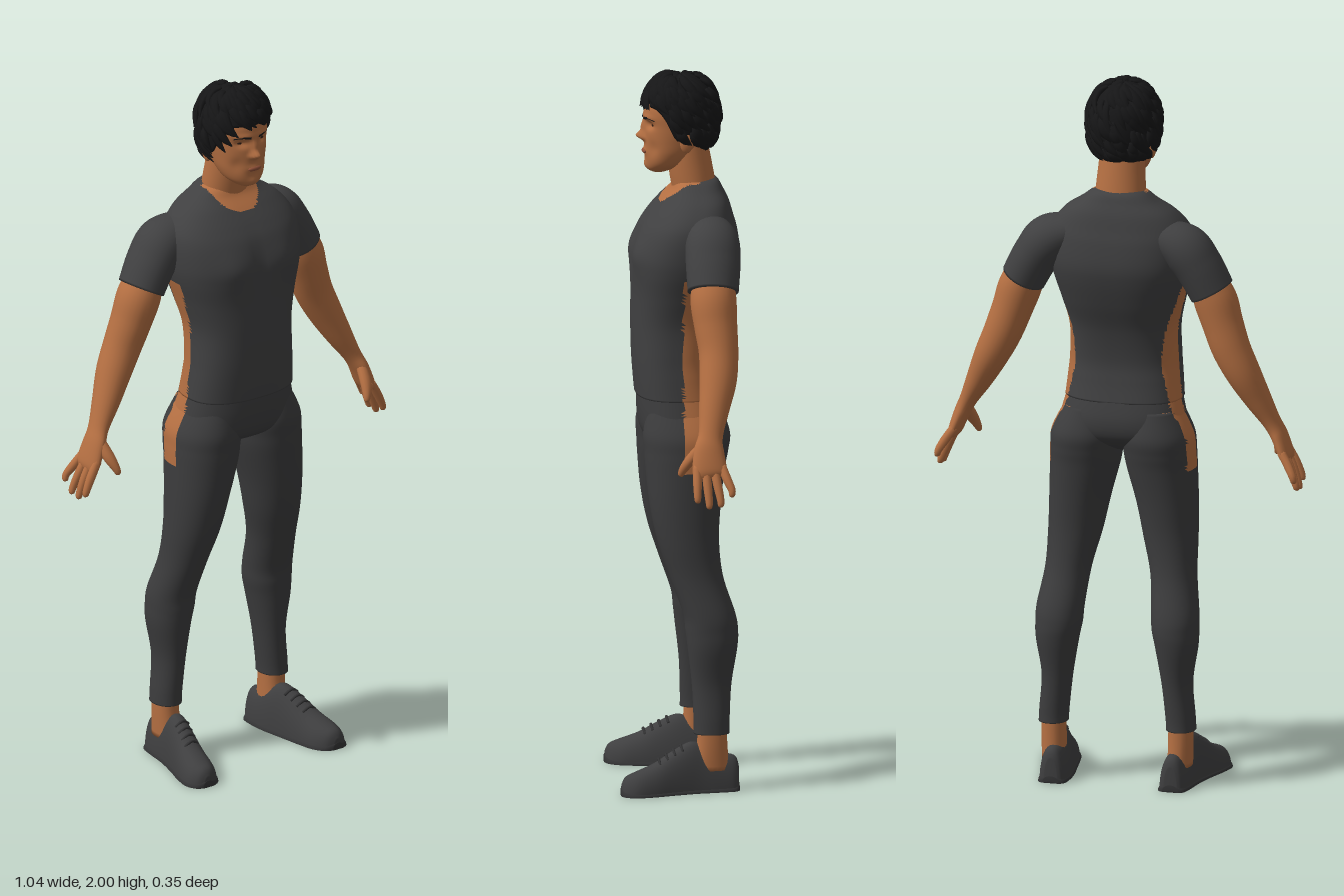
import * as THREE from 'three';
import { mergeGeometries } from 'three/addons/utils/BufferGeometryUtils.js';

const V = (x, y, z) => new THREE.Vector3(x, y, z);
const paint = (name, color) => {
  const m = new THREE.MeshStandardMaterial({ color });
  m.name = name;
  return m;
};

// Catmull-Rom through rows of numbers, resampled to n + 1 rows
function smooth(rows, n) {
  const last = rows.length - 1, out = [];
  for (let k = 0; k <= n; k++) {
    const f = (k / n) * last, i = Math.min(Math.floor(f), last - 1), t = f - i;
    const [a, b, c, d] = [i - 1, i, i + 1, i + 2].map(j => rows[Math.max(0, Math.min(last, j))]);
    out.push(b.map((p, q) => 0.5 * (2 * p + (c[q] - a[q]) * t + (2 * a[q] - 5 * p + 4 * c[q] - d[q]) * t * t
      + (3 * p - a[q] - 3 * c[q] + d[q]) * t * t * t)));
  }
  return out;
}

// Closed surface over rings of points; faces where inSecond(centre) holds use the second material
function skinOver(rings, inSecond) {
  const n = rings[0].length, pts = rings.flat(), tris = [];
  const id = (i, j) => i * n + (j % n);
  for (let i = 0; i < rings.length - 1; i++) for (let j = 0; j < n; j++) {
    tris.push([id(i, j), id(i, j + 1), id(i + 1, j + 1)], [id(i, j), id(i + 1, j + 1), id(i + 1, j)]);
  }
  for (const end of [0, rings.length - 1]) {
    const c = pts.length;
    pts.push(rings[end].reduce((s, p) => s.add(p), V(0, 0, 0)).divideScalar(n));
    for (let j = 0; j < n; j++) tris.push(end ? [id(end, j), id(end, j + 1), c] : [id(0, j + 1), id(0, j), c]);
  }
  const mid = pts.reduce((s, p) => s.add(p), V(0, 0, 0)).divideScalar(pts.length);
  const rel = pts.map(p => p.clone().sub(mid));
  let volume = 0;
  for (const [a, b, c] of tris) volume += rel[a].dot(V(0, 0, 0).crossVectors(rel[b], rel[c]));
  if (volume < 0) tris.forEach(t => t.reverse());
  const g = new THREE.BufferGeometry().setFromPoints(pts);
  if (inSecond) {
    const parts = [[], []];
    for (const t of tris) {
      const c = V(0, 0, 0).add(pts[t[0]]).add(pts[t[1]]).add(pts[t[2]]).divideScalar(3);
      parts[inSecond(c) ? 1 : 0].push(t);
    }
    g.setIndex(parts.flat(2));
    g.addGroup(0, parts[0].length * 3, 0);
    g.addGroup(parts[0].length * 3, parts[1].length * 3, 1);
  } else g.setIndex(tris.flat());
  g.computeVertexNormals();
  return g;
}

const bend = (v, e) => Math.sign(v) * Math.pow(Math.abs(v), 2 / e);

// Horizontal rings: rows of [y, centre x, half width, front z, back z]
function body(rows, { n = 40, sides = 48, e = 2.2, inSecond, shape = () => 0 } = {}) {
  return skinOver(smooth(rows, n).map(([y, cx, hw, zf, zb]) => Array.from({ length: sides }, (_, j) => {
    const a = (j / sides) * Math.PI * 2;
    const p = V(cx + hw * bend(Math.cos(a), e), y, (zf + zb) / 2 + (zf - zb) / 2 * bend(Math.sin(a), e));
    p.z += shape(p);
    return p;
  })), inSecond);
}

// Rings across a path: rows of [x, y, z, radius, radius along ref]
function limb(rows, n = 24, sides = 20, ref = V(0, 0, 1)) {
  const r = smooth(rows, n), at = i => V(...r[Math.max(0, Math.min(n, i))].slice(0, 3));
  return skinOver(r.map((row, i) => {
    const t = at(i + 1).sub(at(i - 1)).normalize();
    const u = ref.clone().cross(t).normalize(), v = t.clone().cross(u);
    return Array.from({ length: sides }, (_, j) => {
      const a = (j / sides) * Math.PI * 2;
      return at(i).addScaledVector(u, row[3] * Math.cos(a)).addScaledVector(v, row[4] * Math.sin(a));
    });
  }));
}

// Flat-bottomed shoe form: rows of [z, centre x, half width, top y]
function lastForm(rows) {
  return skinOver(smooth(rows, 36).map(([z, cx, hw, top]) => Array.from({ length: 32 }, (_, j) => {
    const a = (j / 32) * Math.PI * 2, s = Math.sin(a);
    return V(cx + hw * bend(Math.cos(a), 2.3), s > 0 ? Math.max(top, 0.004) * bend(s, 2) : 0, z);
  })));
}

const ball = (x, y, z, a, b, c) => new THREE.SphereGeometry(1, 20, 14).scale(a, b, c).translate(x, y, z);

function mirrored(g) {
  const m = g.clone().scale(-1, 1, 1), ix = m.index.array;
  for (let i = 0; i < ix.length; i += 3) [ix[i], ix[i + 1]] = [ix[i + 1], ix[i]];
  m.computeVertexNormals();
  return m;
}

export function createModel() {
  const model = new THREE.Group();
  const skin = paint('skin', 0xb46f42), shirt = paint('shirt charcoal', 0x404041);
  const cloth = paint('trouser charcoal', 0x3c3c3d), shoe = paint('shoe grey', 0x3f3f40);
  const sole = paint('sole dark grey', 0x333334), hair = paint('hair black', 0x161617);
  const lip = paint('lip brown', 0x8f5038), eye = paint('eye brown', 0x2c1c14);
  const add = (name, g, m) => {
    const mesh = new THREE.Mesh(g, m);
    mesh.name = name;
    model.add(mesh);
  };
  const pair = (name, g, m) => { add('left' + name, g, m); add('right' + name, mirrored(g), m); };
  const bump = list => p => p.z < 0 ? 0 : list.reduce((s, [x, y, sx, sy, h]) =>
    s + h * Math.exp(-(((Math.abs(p.x) - x) / sx) ** 2) - ((p.y - y) / sy) ** 2), 0);
  const sideStripe = p => Math.abs(p.x) > 0.11 && p.y > 0.9 && p.y < 1.44 && p.z > -0.07 && p.z < -0.005;
  const collar = p => (p.x / 0.078) ** 2 + ((p.y - 1.7) / 0.066) ** 2 < 1 && p.z > -0.06;

  // Shirt torso with open collar and side stripes
  add('shirt', body([
    [1.095, 0, 0.165, 0.113, -0.118], [1.15, 0, 0.16, 0.118, -0.107], [1.21, 0, 0.155, 0.122, -0.102],
    [1.3, 0, 0.154, 0.124, -0.118], [1.38, 0, 0.172, 0.123, -0.147], [1.45, 0, 0.192, 0.124, -0.168],
    [1.5, 0, 0.2, 0.12, -0.175], [1.56, 0, 0.2, 0.1, -0.168], [1.6, 0, 0.188, 0.075, -0.157],
    [1.64, 0, 0.155, 0.042, -0.145], [1.67, 0, 0.11, 0.015, -0.13], [1.695, 0, 0.075, 0, -0.115],
    [1.705, 0, 0.04, -0.02, -0.09]], {
    n: 96, sides: 96, e: 2.5, inSecond: p => sideStripe(p) || collar(p),
    shape: bump([[0.085, 1.5, 0.05, 0.05, 0.008], [0, 1.48, 0.02, 0.08, -0.006]]) }), [shirt, skin]);
  pair('Sleeve', limb([[0.12, 1.58, -0.075, 0.045, 0.06], [0.19, 1.55, -0.082, 0.068, 0.075],
    [0.232, 1.5, -0.08, 0.066, 0.076], [0.27, 1.43, -0.076, 0.063, 0.071]], 24, 28), shirt);

  // Trousers
  add('trouserSeat', body([[1.115, 0, 0.157, 0.106, -0.11], [1.05, 0, 0.174, 0.107, -0.134],
    [1.0, 0, 0.184, 0.1, -0.13], [0.97, 0, 0.14, 0.08, -0.1], [0.945, 0, 0.05, 0.03, -0.05]],
    { n: 36, sides: 80, e: 2.4, inSecond: sideStripe }), [cloth, skin]);
  pair('TrouserLeg', body([[1.07, 0.092, 0.072, 0.085, -0.115], [1.0, 0.1, 0.099, 0.1, -0.14],
    [0.95, 0.105, 0.1, 0.098, -0.135], [0.9, 0.11, 0.097, 0.095, -0.125], [0.8, 0.125, 0.085, 0.085, -0.112],
    [0.7, 0.137, 0.075, 0.065, -0.106], [0.6, 0.151, 0.064, 0.032, -0.116], [0.5, 0.164, 0.066, -0.003, -0.148],
    [0.45, 0.167, 0.065, -0.01, -0.156], [0.4, 0.171, 0.059, -0.016, -0.153], [0.3, 0.172, 0.043, -0.027, -0.137],
    [0.2, 0.181, 0.041, -0.031, -0.131], [0.163, 0.183, 0.041, -0.031, -0.131]],
    { n: 80, sides: 56, e: 2.1, inSecond: sideStripe }), [cloth, skin]);

  // Ankles and shoes
  pair('Ankle', body([[0.2, 0.182, 0.033, -0.042, -0.122], [0.13, 0.182, 0.034, -0.04, -0.125],
    [0.06, 0.18, 0.034, -0.03, -0.13]], { n: 8, sides: 24 }), skin);
  const last = [[-0.157, 0.172, 0.018, 0.07], [-0.145, 0.172, 0.034, 0.096], [-0.1, 0.174, 0.041, 0.108],
    [-0.055, 0.178, 0.043, 0.13], [-0.02, 0.184, 0.044, 0.139], [0.03, 0.195, 0.047, 0.115],
    [0.08, 0.207, 0.051, 0.085], [0.13, 0.217, 0.05, 0.065], [0.162, 0.221, 0.034, 0.051], [0.174, 0.223, 0.012, 0.03]];
  pair('Shoe', lastForm(last), shoe);
  pair('Sole', lastForm(last.map(([z, x, w]) => [z * 1.01, x, w + 0.004, 0.02])), sole);
  pair('Laces', mergeGeometries([0, 1, 2, 3].map(i => {
    const z = 0.002 + i * 0.021, x = 0.188 + i * 0.005, y = 0.129 - i * 0.0115;
    return limb([[x - 0.022, y - 0.012, z, 0.004, 0.004], [x, y + 0.002, z + 0.004, 0.004, 0.004],
      [x + 0.022, y - 0.012, z, 0.004, 0.004]], 8, 8);
  })), sole);

  // Arms, hands and fingers
  pair('Arm', limb([[0.245, 1.48, -0.08, 0.045, 0.055], [0.278, 1.41, -0.076, 0.06, 0.064],
    [0.302, 1.34, -0.08, 0.057, 0.06], [0.328, 1.27, -0.085, 0.054, 0.055], [0.362, 1.2, -0.08, 0.048, 0.052],
    [0.4, 1.125, -0.065, 0.037, 0.042], [0.435, 1.06, -0.052, 0.025, 0.034], [0.455, 1.02, -0.045, 0.022, 0.042],
    [0.475, 0.968, -0.045, 0.018, 0.048], [0.482, 0.95, -0.046, 0.01, 0.042]], 50, 24), skin);
  const fingers = [[-0.01, -0.008, 0.885], [-0.034, -0.04, 0.868], [-0.057, -0.072, 0.872], [-0.079, -0.103, 0.9]]
    .map(([z0, z1, y]) => limb([[0.47, 0.98, z0, 0.012, 0.012], [0.492, (0.965 + y) / 2 + 0.015, (z0 + z1) / 2, 0.0125, 0.0125],
      [0.508, y + 0.02, z1, 0.0105, 0.0105], [0.512, y + 0.004, z1, 0.008, 0.008], [0.512, y, z1, 0.002, 0.002]], 14, 10));
  fingers.push(limb([[0.45, 1.035, -0.03, 0.014, 0.016], [0.443, 0.995, 0.004, 0.017, 0.015],
    [0.433, 0.965, 0.024, 0.012, 0.012], [0.428, 0.948, 0.031, 0.008, 0.008], [0.427, 0.944, 0.033, 0.002, 0.002]], 14, 12));
  pair('Fingers', mergeGeometries(fingers), skin);

  // Neck, head and face
  add('neck', limb([[0, 1.6, -0.065, 0.072, 0.06], [0, 1.68, -0.05, 0.071, 0.061], [0, 1.75, -0.038, 0.066, 0.06],
    [0, 1.82, -0.03, 0.06, 0.055]], 16, 32), skin);
  add('head', body([[1.718, 0, 0.018, 0.066, 0.03], [1.727, 0, 0.036, 0.079, 0.005], [1.745, 0, 0.056, 0.084, -0.03],
    [1.775, 0, 0.07, 0.086, -0.06], [1.81, 0, 0.077, 0.087, -0.085], [1.85, 0, 0.082, 0.086, -0.1],
    [1.9, 0, 0.084, 0.086, -0.105], [1.945, 0, 0.068, 0.066, -0.085], [1.965, 0, 0.03, 0.02, -0.05]], {
    n: 90, sides: 96, e: 2.15, shape: bump([[0, 1.82, 0.011, 0.012, 0.022], [0, 1.846, 0.009, 0.02, 0.011],
      [0.012, 1.815, 0.007, 0.007, 0.007], [0.034, 1.855, 0.017, 0.011, -0.011], [0.03, 1.876, 0.026, 0.008, 0.005],
      [0, 1.778, 0.02, 0.01, 0.005], [0, 1.738, 0.016, 0.012, 0.005], [0.048, 1.79, 0.016, 0.022, -0.006]]) }), skin);
  pair('Ear', ball(0.083, 1.815, -0.022, 0.011, 0.032, 0.019).rotateX(0), skin);
  pair('Eye', ball(0.034, 1.855, 0.064, 0.012, 0.0055, 0.006), eye);
  pair('Eyebrow', limb([[0.013, 1.871, 0.088, 0.004, 0.004], [0.034, 1.876, 0.081, 0.005, 0.004],
    [0.056, 1.87, 0.064, 0.002, 0.003]], 10, 8), hair);
  add('lips', ball(0, 1.777, 0.087, 0.022, 0.007, 0.007), lip);

  // Hair: a cap with swept locks over it
  const hairPoint = (az, el, r) => {
    const c = Math.cos(el < 0 ? el * 0.6 : el) * r;
    return V(0.099 * c * Math.sin(az), Math.min(1.996, 1.885 + 0.1 * r * Math.sin(el)), -0.014 + 0.105 * c * Math.cos(az));
  };
  const hairline = az => {
    const a = Math.abs(Math.atan2(Math.sin(az), Math.cos(az)));
    return 0.2 - 1.4 * THREE.MathUtils.smoothstep(a, 0.6, 2.3) - 0.35 * Math.exp(-(((a - 1.35) / 0.2) ** 2));
  };
  const cap = skinOver(Array.from({ length: 25 }, (_, i) => Array.from({ length: 64 }, (_, j) => {
    const az = (j / 64) * Math.PI * 2, el = THREE.MathUtils.lerp(hairline(az), 1.55, i / 24);
    return hairPoint(az, el, 0.97 + 0.015 * Math.sin(az * 9 + el * 5));
  })));
  let seed = 7;
  const rand = () => (seed = (seed * 16807) % 2147483647) / 2147483647;
  const locks = Array.from({ length: 130 }, (_, i) => {
    const az = i * 2.4, low = hairline(az), e0 = THREE.MathUtils.lerp(low + 0.45, 1.35, rand());
    const e1 = Math.max(low - 0.06, e0 - 0.5 - 0.4 * rand()), turn = 0.25 + 0.4 * rand(), w = 0.011 + 0.006 * rand();
    const rows = [[0, 0.98, 0.5], [0.35, 1.03, 1], [0.7, 1.05, 0.8], [1, 1.04 + 0.05 * rand(), 0.12]].map(([t, r, k]) =>
      [...hairPoint(az + turn * t * t, THREE.MathUtils.lerp(e0, e1, t), r).toArray(), w * k, w * k * 0.6]);
    return limb(rows, 9, 7, hairPoint(az + turn / 3, (e0 + e1) / 2, 1).sub(V(0, 1.885, -0.014)).normalize());
  });
  // keep the tallest lock tip at full height
  const hairGeometry = mergeGeometries([cap, ...locks]);
  hairGeometry.computeBoundingBox();
  const rise = (2 - 1.885) / (hairGeometry.boundingBox.max.y - 1.885), hp = hairGeometry.attributes.position;
  for (let i = 0; i < hp.count; i++) if (hp.getY(i) > 1.885) hp.setY(i, 1.885 + (hp.getY(i) - 1.885) * rise);
  hairGeometry.computeVertexNormals();
  add('hair', hairGeometry, hair);
  return model;
}
